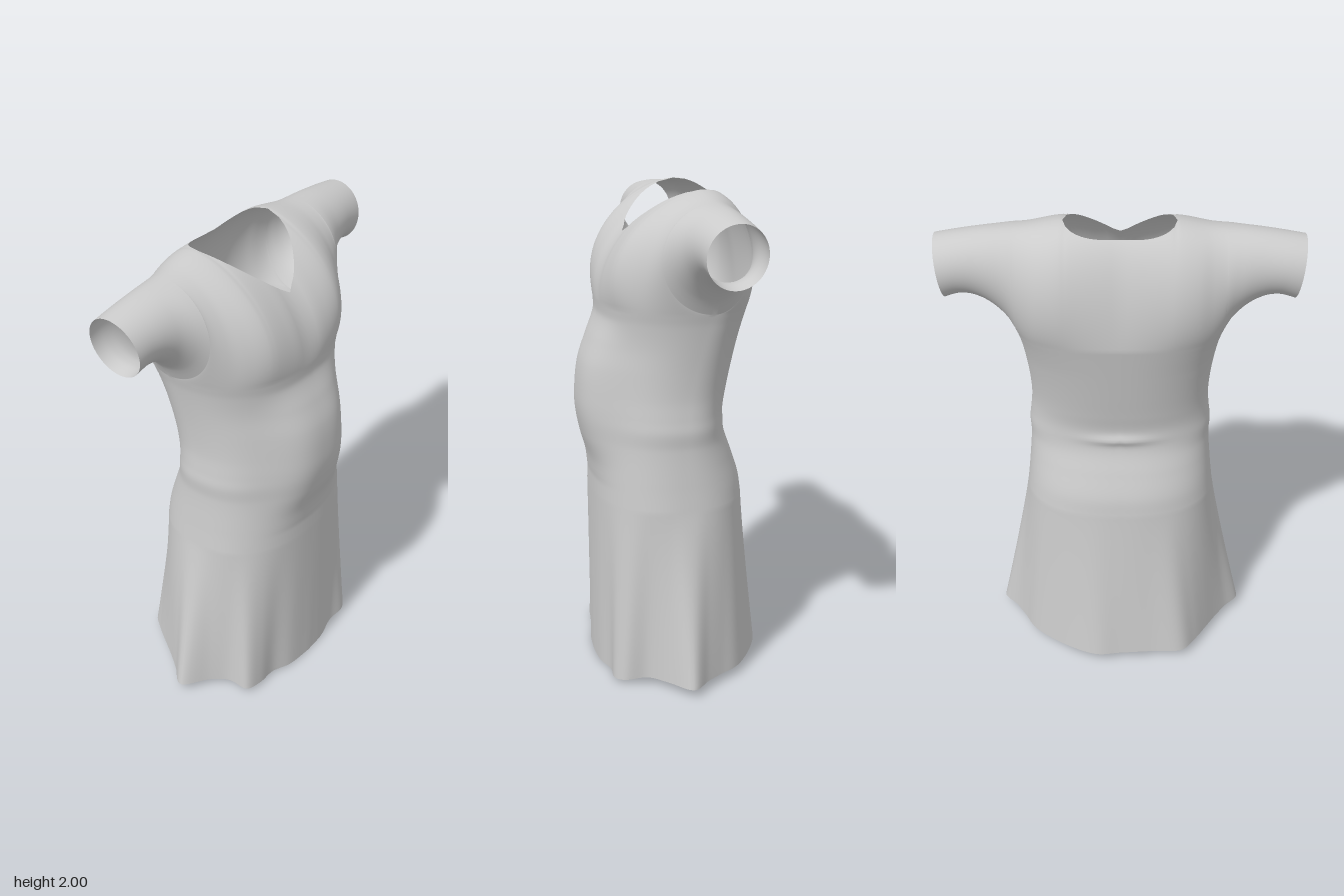
import * as THREE from 'three';
import { mergeGeometries, mergeVertices } from 'three/addons/utils/BufferGeometryUtils.js';

// Smooth interpolation through [position, value] pairs
function spline(pts) {
  const n = pts.length;
  const slope = (i) => {
    const a = pts[Math.max(i - 1, 0)], b = pts[Math.min(i + 1, n - 1)];
    return (b[1] - a[1]) / (b[0] - a[0]);
  };
  return (p) => {
    if (p <= pts[0][0]) return pts[0][1];
    if (p >= pts[n - 1][0]) return pts[n - 1][1];
    let i = 0;
    while (p > pts[i + 1][0]) i++;
    const h = pts[i + 1][0] - pts[i][0], s = (p - pts[i][0]) / h;
    const s2 = s * s, s3 = s2 * s;
    return (2 * s3 - 3 * s2 + 1) * pts[i][1] + (s3 - 2 * s2 + s) * h * slope(i)
      + (3 * s2 - 2 * s3) * pts[i + 1][1] + (s3 - s2) * h * slope(i + 1);
  };
}

// Grid surface from fn(u, v) -> [x, y, z]
function grid(nu, nv, fn, flip) {
  const pos = [], idx = [];
  for (let i = 0; i <= nu; i++) for (let j = 0; j <= nv; j++) pos.push(...fn(i, j));
  for (let i = 0; i < nu; i++) {
    for (let j = 0; j < nv; j++) {
      const a = i * (nv + 1) + j, b = a + nv + 1, c = b + 1, d = a + 1;
      idx.push(...(flip ? [a, c, b, a, d, c] : [a, b, c, a, c, d]));
    }
  }
  const g = new THREE.BufferGeometry();
  g.setAttribute('position', new THREE.Float32BufferAttribute(pos, 3));
  g.setIndex(idx);
  return g;
}

const HIP = 0.75, CHEST = 1.55, SIDE = 0.4, RIDGE = -0.09, CUFF = 0.695;

// Torso measurements by height
const halfWidth = spline([[HIP, 0.393], [0.85, 0.382], [1, 0.37], [1.07, 0.373], [1.12, 0.367], [1.2, 0.36], [1.3, 0.363], [1.4, 0.373], [1.5, 0.388], [CHEST, SIDE]]);
const frontZ = spline([[HIP, 0.321], [0.85, 0.319], [1, 0.312], [1.15, 0.31], [1.3, 0.302], [1.4, 0.288], [1.5, 0.283], [CHEST, 0.285]]);
const backZ = spline([[HIP, -0.295], [0.83, -0.283], [0.93, -0.25], [1.03, -0.216], [1.12, -0.211], [1.2, -0.225], [1.3, -0.245], [1.4, -0.265], [CHEST, -0.295]]);
const midZ = spline([[HIP, 0], [1.15, 0], [1.4, -0.05], [CHEST, RIDGE]]);
const squareness = spline([[HIP, 2.4], [1.15, 2.3], [1.4, 2.3], [CHEST, 2.5]]);
const belly = spline([[0.82, 0], [0.9, 0.014], [1, 0.046], [1.1, 0.064], [1.2, 0.066], [1.3, 0.058], [1.4, 0.036], [1.49, 0.003], [1.53, 0]]);

// Point on the torso section: t = 0 front centre, 0.5 side, 1 back centre
function ring(y, t) {
  const e = 2 / squareness(y), c = Math.cos(Math.PI * t), m = midZ(y);
  const x = halfWidth(y) * Math.pow(Math.max(0, Math.sin(Math.PI * t)), e);
  // Rounded belly in front, small cloth fold at the back of the waist
  const bulge = c > 0 ? belly(y) * Math.exp(-((x / 0.22) ** 4))
    : -0.014 * Math.exp(-(((y - 1.08) / 0.02) ** 2) - (x / 0.13) ** 2);
  return [x, y, m + ((c > 0 ? frontZ(y) : backZ(y)) - m) * Math.pow(Math.abs(c), e) + bulge * Math.abs(c)];
}

// Wavy hem outlines of the two halves, front centre to back centre
const hemCurve = (pts) => new THREE.CatmullRomCurve3(pts.map(([x, z]) => new THREE.Vector3(x, 0, z)), false, 'catmullrom');
const leftHem = hemCurve([
  [0, 0.322], [0.11, 0.317], [0.21, 0.293], [0.3, 0.298], [0.35, 0.26], [0.365, 0.17], [0.44, 0.1],
  [0.53, 0.02], [0.47, -0.06], [0.425, -0.13], [0.385, -0.2], [0.32, -0.26], [0.21, -0.33], [0.1, -0.372], [0, -0.363],
]);
const rightHem = hemCurve([
  [0, 0.322], [0.12, 0.31], [0.21, 0.277], [0.3, 0.277], [0.375, 0.255], [0.385, 0.17], [0.44, 0.1],
  [0.54, 0.02], [0.48, -0.06], [0.43, -0.13], [0.385, -0.2], [0.335, -0.275], [0.27, -0.345], [0.14, -0.352], [0, -0.363],
]);

// Shoulder and sleeve measurements by distance from the centre line
const topY = spline([[0, 2], [0.2, 2], [0.35, 1.976], [0.5, 1.963], [0.6, 1.95], [CUFF, 1.935]]);
const underY = spline([[SIDE, CHEST], [0.43, 1.605], [0.49, 1.665], [0.56, 1.7], [0.62, 1.707], [0.66, 1.7], [CUFF, 1.69]]);
const reachFront = spline([[0, 0.375], [0.1, 0.373], [0.2, 0.359], [0.25, 0.337], [0.3, 0.3], [0.35, 0.252], [0.4, 0.207], [0.45, 0.172], [0.5, 0.15], [0.6, 0.13], [CUFF, 0.12]]);
const reachBack = spline([[0, 0.205], [0.2, 0.205], [0.25, 0.2], [0.3, 0.187], [0.35, 0.165], [0.4, 0.145], [0.45, 0.13], [0.55, 0.116], [CUFF, 0.114]]);

const COLS = 80, HALF = COLS / 2, SLEEVE = 24;
const NECK = ring(CHEST, 0.15)[0];

// One strip over the shoulder, from the chest line (or underarm) up to the ridge or neckline
function yoke(front) {
  const rows = 40, dir = front ? 1 : -1;
  return grid(HALF + SLEEVE, rows, (i, j) => {
    const onTorso = i <= HALF;
    const base = ring(CHEST, (front ? Math.min(i, HALF) : COLS - Math.min(i, HALF)) / COLS);
    const along = onTorso ? 0 : (i - HALF) / SLEEVE;
    const x = onTorso ? base[0] : SIDE + (CUFF - SIDE) * along;
    const gap = i < HALF ? Math.abs(base[2] - RIDGE) : 0;
    const reach = Math.max(gap, (front ? reachFront : reachBack)(x));
    const k = THREE.MathUtils.smoothstep(x, 0, 0.45);
    const power = front ? 1.5 - 0.5 * k : 0.8 + 0.2 * k;
    const end = Math.PI - Math.asin(Math.min(1, Math.pow(gap / reach, 1 / power)));
    const low = onTorso ? CHEST : underY(x), high = topY(x), ce = Math.cos(end);
    let start = 0;
    if (x < NECK - 1e-6) {
      const r = x / NECK;
      const neckY = front ? 1.82 + 0.18 * Math.pow(r, 1.15) : 1.965 + 0.035 * r ** 3;
      start = Math.acos(Math.min(1, ce + (1 - ce) * (neckY - low) / (high - low)));
    }
    const a = end + (start - end) * j / rows;
    // The cuff slants inward underneath
    const slant = 0.035 * along * along * (1 - Math.cos(a)) / 2;
    if (j === 0) return [x - slant, low, onTorso ? base[2] : RIDGE];
    return [
      x - slant, low + (high - low) * (Math.cos(a) - ce) / (1 - ce),
      RIDGE + dir * reach * Math.pow(Math.max(0, Math.sin(a)), power),
    ];
  }, !front);
}

function skirt(hem) {
  const rows = 50;
  return grid(COLS, rows, (i, j) => {
    const t = i / COLS, w = Math.pow(1 - j / rows, 1.1);
    const p = ring(HIP, t), q = hem.getPoint(t);
    const hemY = 0.036 * THREE.MathUtils.smoothstep(t, 0, 0.5);
    return [p[0] + (q.x - p[0]) * w, hemY + (HIP - hemY) * j / rows, p[2] + (q.z - p[2]) * w];
  });
}

function torso() {
  const rows = 75;
  return grid(COLS, rows, (i, j) => ring(HIP + (CHEST - HIP) * j / rows, i / COLS));
}

// Mirrored copy with its winding reversed
function mirrored(g) {
  const m = g.clone().scale(-1, 1, 1);
  m.setIndex(Array.from(g.index.array).reverse());
  return m;
}

export function createModel() {
  const group = new THREE.Group();
  group.name = 'dress';
  const material = new THREE.MeshStandardMaterial({ color: 0xcccccc, side: THREE.DoubleSide });
  const both = (g) => [g, mirrored(g)];
  const parts = [
    ['skirt', [skirt(leftHem), mirrored(skirt(rightHem))]],
    ['torso', both(torso())],
    ['shouldersAndSleeves', [...both(yoke(true)), ...both(yoke(false))]],
  ].map(([name, list]) => [name, mergeGeometries(list)]);

  // Normals are found on the joined cloth so the parts meet without a seam
  const whole = mergeVertices(mergeGeometries(parts.map((p) => p[1])), 1e-4);
  whole.computeVertexNormals();
  let offset = 0;
  for (const [name, g] of parts) {
    const piece = whole.clone();
    piece.setIndex(Array.from(whole.index.array.slice(offset, offset + g.index.count)));
    offset += g.index.count;
    const mesh = new THREE.Mesh(piece.toNonIndexed(), material);
    mesh.name = name;
    group.add(mesh);
  }
  return group;
}
